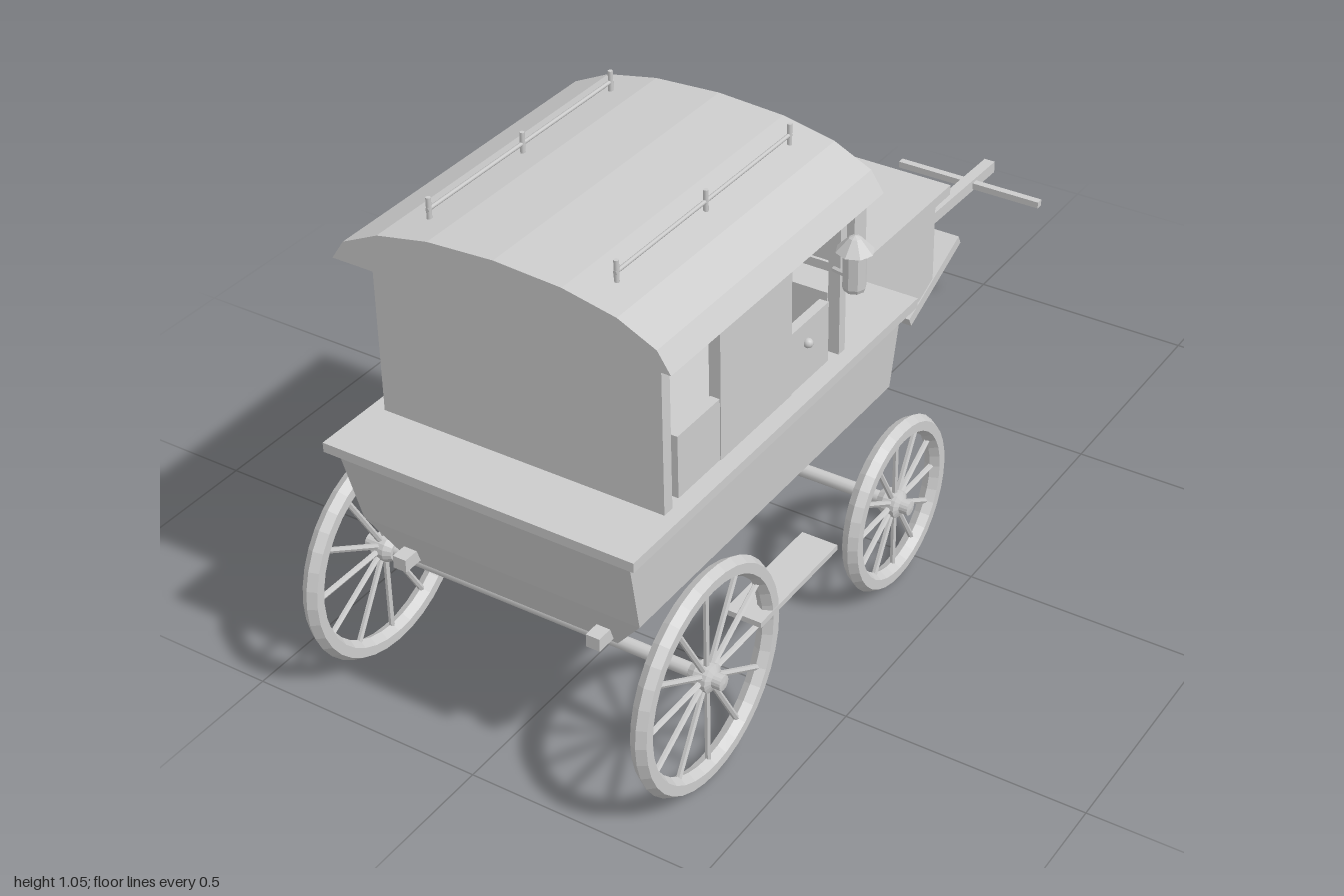
import * as THREE from 'three';

const smooth = new THREE.MeshStandardMaterial({ color: 0xcccccc });
const flat = new THREE.MeshStandardMaterial({ color: 0xcccccc, flatShading: true });

function add(parent, name, geometry, material = flat) {
  const mesh = new THREE.Mesh(geometry, material);
  mesh.name = name;
  parent.add(mesh);
  return mesh;
}

// Box given by its min and max along each axis
function box(parent, name, x0, x1, y0, y1, z0, z1) {
  const mesh = add(parent, name, new THREE.BoxGeometry(x1 - x0, y1 - y0, z1 - z0));
  mesh.position.set((x0 + x1) / 2, (y0 + y1) / 2, (z0 + z1) / 2);
  return mesh;
}

// Round or square bar between two points
function bar(parent, name, a, b, radius, sides = 8) {
  const from = new THREE.Vector3(...a), to = new THREE.Vector3(...b);
  const dir = to.clone().sub(from);
  const mesh = add(parent, name, new THREE.CylinderGeometry(radius, radius, dir.length(), sides), sides > 6 ? smooth : flat);
  mesh.position.copy(from).add(to).multiplyScalar(0.5);
  mesh.quaternion.setFromUnitVectors(new THREE.Vector3(0, 1, 0), dir.normalize());
  return mesh;
}

// Tapered hull from rectangular rings, bottom to top: [y, half width, back z, front z]
function hullGeometry(rings) {
  const pos = [], index = [];
  for (const [y, w, z0, z1] of rings) pos.push(-w, y, z1, w, y, z1, w, y, z0, -w, y, z0);
  for (let r = 0; r < rings.length - 1; r++) {
    for (let i = 0; i < 4; i++) {
      const a = r * 4 + i, b = r * 4 + (i + 1) % 4;
      index.push(a, b, b + 4, a, b + 4, a + 4);
    }
  }
  const t = (rings.length - 1) * 4;
  index.push(0, 2, 1, 0, 3, 2, t, t + 1, t + 2, t, t + 2, t + 3);
  const g = new THREE.BufferGeometry();
  g.setAttribute('position', new THREE.Float32BufferAttribute(pos, 3));
  g.setIndex(index);
  g.computeVertexNormals();
  return g;
}

// Wheel in the xy plane, outer side toward +z
function wheel(radius) {
  const g = new THREE.Group();
  add(g, 'rim', new THREE.TorusGeometry(radius - 0.02, 0.02, 6, 36));
  for (let i = 0; i < 12; i++) {
    const a = (i / 12) * Math.PI * 2, r = radius - 0.03;
    bar(g, 'spoke', [0, 0, 0], [Math.cos(a) * r, Math.sin(a) * r, 0], 0.006, 6);
  }
  const profile = [[0, -0.03], [0.02, -0.03], [0.028, -0.015], [0.028, 0.012], [0.015, 0.018], [0.015, 0.036], [0, 0.038]];
  const hub = add(g, 'hub', new THREE.LatheGeometry(profile.map(p => new THREE.Vector2(...p)), 16));
  hub.rotation.x = Math.PI / 2;
  return g;
}

function lantern(side) {
  const g = new THREE.Group();
  g.name = 'lantern';
  const body = [[0, 0.765], [0.02, 0.767], [0.023, 0.775], [0.023, 0.85], [0.037, 0.85], [0.012, 0.877], [0, 0.882]];
  add(g, 'lanternBody', new THREE.LatheGeometry(body.map(p => new THREE.Vector2(...p)), 8));
  bar(g, 'lanternBracket', [-side * 0.055, 0.782, -0.02], [-side * 0.015, 0.792, 0], 0.006, 6);
  g.position.set(side * 0.353, 0, 0.243);
  return g;
}

export function createModel() {
  const model = new THREE.Group();
  model.name = 'carriage';

  // Tub and deck
  add(model, 'hull', hullGeometry([[0.315, 0.235, 0.03, 0.858], [0.4, 0.304, 0.008, 0.888], [0.572, 0.315, -0.01, 0.93]]));
  box(model, 'deck', -0.335, 0.335, 0.57, 0.59, -0.04, 0.945);

  // Cabin walls
  box(model, 'rearWall', -0.305, 0.305, 0.59, 0.925, 0.78, 0.805);
  box(model, 'frontPanel', -0.28, 0.28, 0.59, 0.72, 0.195, 0.215);
  box(model, 'frontLintel', -0.28, 0.28, 0.9, 0.925, 0.19, 0.215);

  // Arched roof
  const half = [[0.355, 0.922], [0.328, 0.963], [0.25, 1.0], [0.14, 1.022]];
  const arch = [...half, [0, 1.03], ...half.map(([x, y]) => [-x, y]).reverse()];
  const roofShape = new THREE.Shape(arch.map(p => new THREE.Vector2(...p)));
  const roof = add(model, 'roof', new THREE.ExtrudeGeometry(roofShape, { depth: 0.705, bevelEnabled: false }));
  roof.position.z = 0.145;

  // Box seat with lid, backrest and footboard
  box(model, 'seatBox', -0.175, 0.175, 0.365, 0.59, -0.405, -0.055);
  box(model, 'seatLid', -0.195, 0.195, 0.588, 0.61, -0.43, -0.035);
  box(model, 'backrest', -0.19, 0.19, 0.61, 0.81, -0.088, -0.042);
  const footboard = add(model, 'footboard', new THREE.BoxGeometry(0.355, 0.022, 0.23));
  footboard.position.set(0, 0.382, -0.412);
  footboard.rotation.x = 0.43;

  // Draw pole and crossbar
  const pole = add(model, 'pole', new THREE.BoxGeometry(0.026, 0.027, 1.04));
  pole.position.set(0, 0.336, -0.48);
  pole.rotation.x = -0.02;
  box(model, 'crossbar', -0.178, 0.178, 0.319, 0.334, -0.91, -0.893);

  // Axles
  for (const [r, z] of [[0.23, 0.77], [0.185, 0.085]]) {
    bar(model, 'axle', [-0.36, r + 0.004, z], [0.36, r + 0.004, z], 0.014, 12);
  }

  for (const s of [-1, 1]) {
    // Wheels
    for (const [r, z, name] of [[0.23, 0.77, 'rearWheel'], [0.185, 0.085, 'frontWheel']]) {
      const w = wheel(r);
      w.name = name;
      w.position.set(s * 0.365, r + 0.004, z);
      w.rotation.y = s * Math.PI / 2;
      model.add(w);
    }

    const side = (name, a, b, ...rest) => box(model, name, Math.min(s * a, s * b), Math.max(s * a, s * b), ...rest);
    // Corner posts, top beam, low panel and door
    side('cabinPost', 0.28, 0.305, 0.59, 0.925, 0.19, 0.212);
    side('cabinPost', 0.28, 0.305, 0.59, 0.925, 0.782, 0.805);
    side('topBeam', 0.28, 0.305, 0.9, 0.925, 0.21, 0.785);
    side('sidePanel', 0.278, 0.298, 0.59, 0.72, 0.24, 0.75);
    side('door', 0.276, 0.3, 0.59, 0.862, 0.375, 0.615);
    const knob = add(model, 'doorKnob', new THREE.SphereGeometry(0.01, 10, 8), smooth);
    knob.position.set(s * 0.302, 0.675, 0.32);

    model.add(lantern(s));

    // Roof rails
    for (const z of [0.215, 0.495, 0.77]) bar(model, 'railPost', [s * 0.196, 1.0, z], [s * 0.196, 1.053, z], 0.005);
    bar(model, 'roofRail', [s * 0.196, 1.03, 0.21], [s * 0.196, 1.03, 0.775], 0.004);

    // Side step and spring blocks
    side('step', 0.305, 0.383, 0.245, 0.257, 0.34, 0.615);
    side('rearBlock', 0.2, 0.229, 0.326, 0.353, 0.84, 0.905);
    const block = side('frontBlock', 0.2, 0.229, 0.36, 0.384, -0.025, 0.04);
    block.rotation.x = -0.3;
  }
  return model;
}
